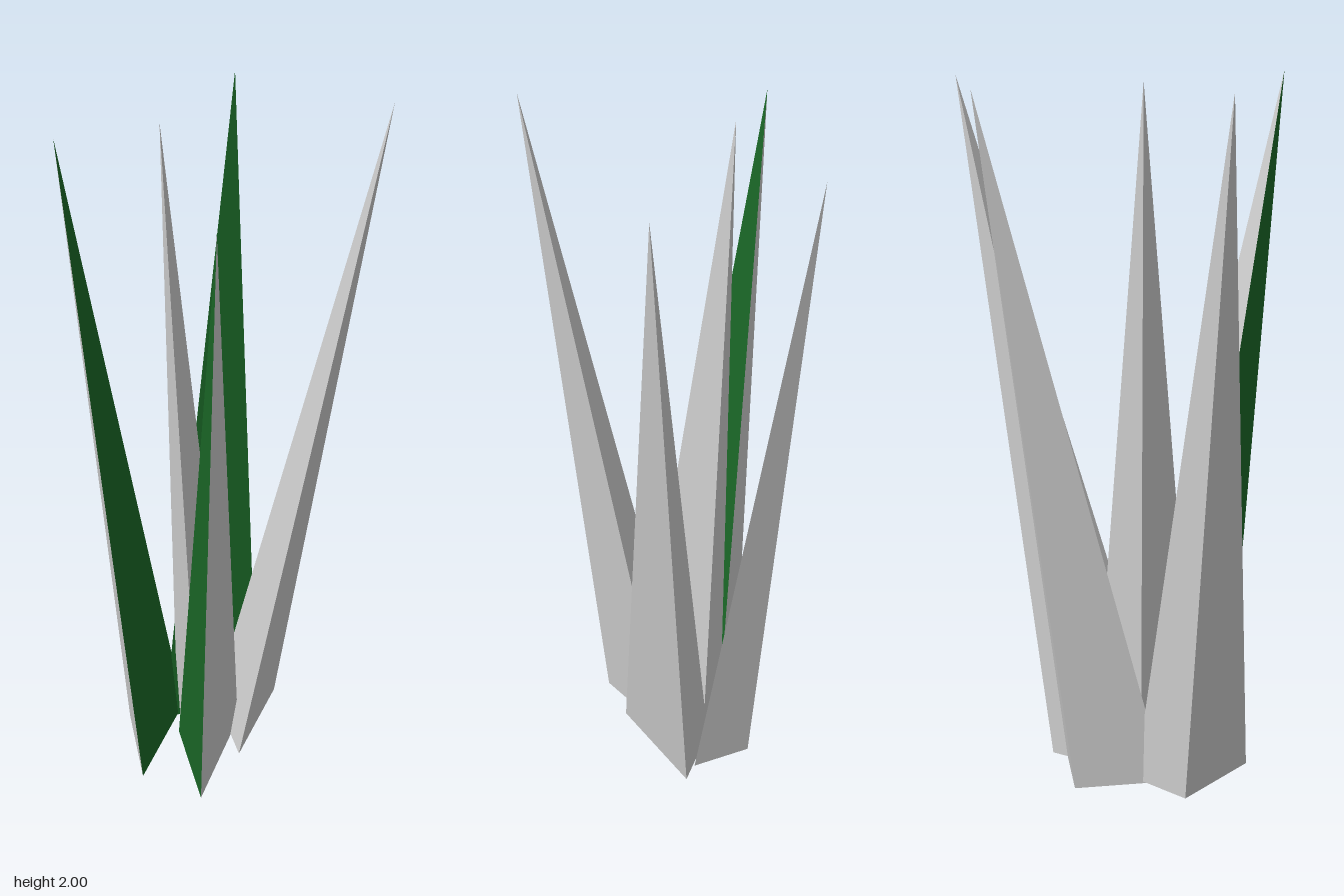
import * as THREE from 'three';

const grey = new THREE.MeshStandardMaterial({ color: 0xcccccc, flatShading: true });
const green = new THREE.MeshStandardMaterial({ color: 0x1a6626, flatShading: true });

// One blade: a three-sided spike. Base corners run counter-clockwise seen from above;
// greenSide is the index of the side face that is coloured (-1 for none).
function blade(name, tip, base, greenSide = -1) {
  const geometry = new THREE.BufferGeometry();
  const points = [];
  for (let i = 0; i < 3; i++) {
    geometry.addGroup(i * 3, 3, i === greenSide ? 1 : 0);
    points.push(...base[i], ...base[(i + 1) % 3], ...tip);
  }
  geometry.addGroup(9, 3, 0);
  points.push(...base[0], ...base[2], ...base[1]); // underside
  geometry.setAttribute('position', new THREE.Float32BufferAttribute(points, 3));
  geometry.computeVertexNormals();
  const mesh = new THREE.Mesh(geometry, [grey, green]);
  mesh.name = name;
  return mesh;
}

export function createModel() {
  const group = new THREE.Group();
  group.name = 'grassTuft';
  group.add(
    // leaning out to the sides
    blade('rightBlade', [-0.46, 1.99, -0.155],
      [[-0.365, 0.02, 0.12], [-0.165, 0.025, -0.155], [-0.34, 0.02, -0.155]], 0),
    blade('leftBlade', [0.455, 1.98, -0.155],
      [[-0.06, 0.03, 0.12], [0.14, 0.01, -0.155], [-0.06, 0.03, -0.155]]),
    // leaning back and forward
    blade('backBlade', [0.11, 1.99, -0.478],
      [[-0.24, 0.02, -0.11], [0.08, 0.015, -0.16], [-0.05, 0.015, -0.29]], 0),
    blade('frontBlade', [-0.212, 1.985, 0.475],
      [[-0.215, 0, 0.24], [-0.02, 0.03, -0.03], [-0.212, 0.03, -0.03]], 2),
    // upright in the middle
    blade('middleBlade', [-0.185, 2, -0.155],
      [[-0.185, 0.02, 0.12], [-0.01, 0.02, -0.155], [-0.185, 0.02, -0.155]])
  );
  return group;
}
